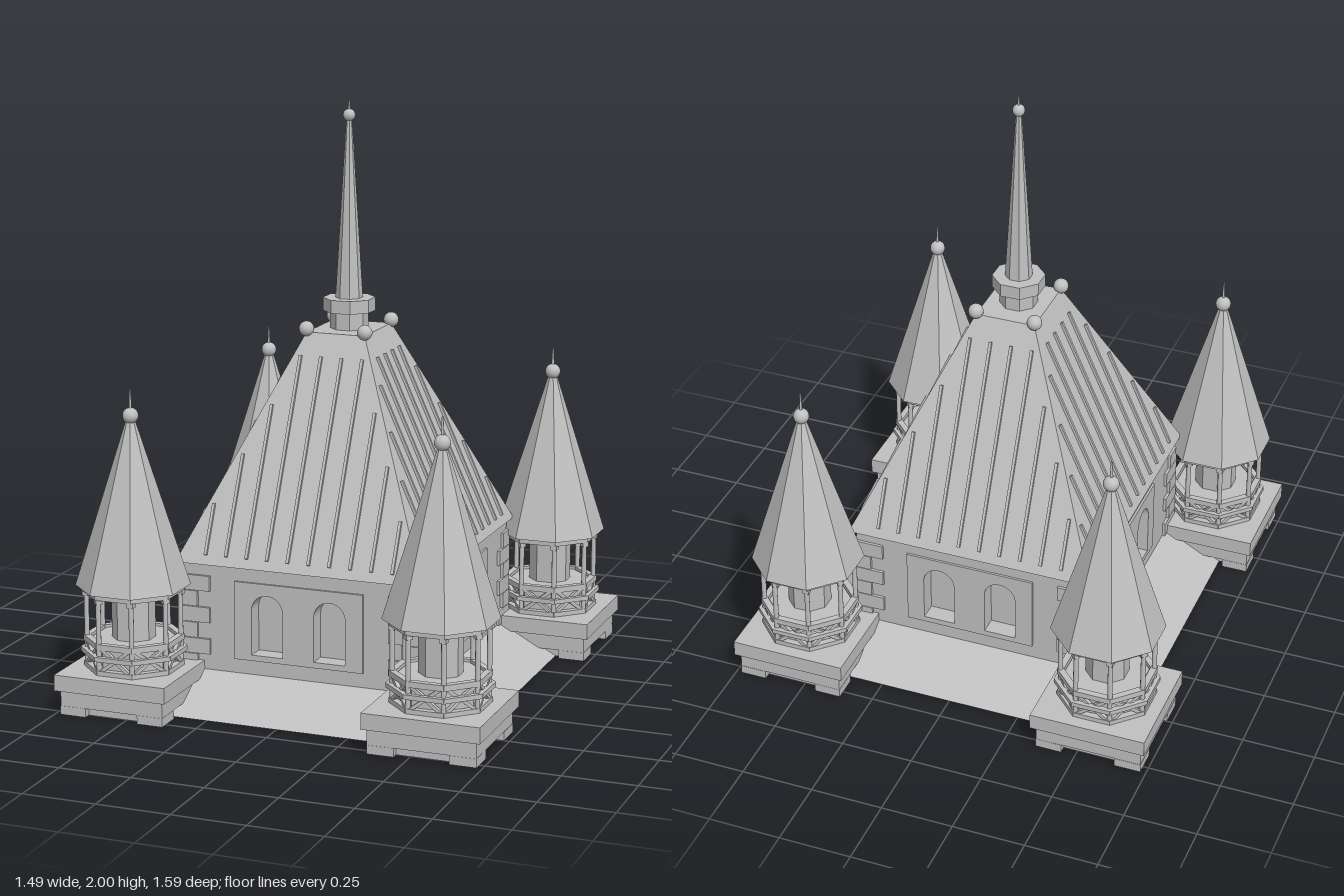
import * as THREE from 'three';

const stone = new THREE.MeshStandardMaterial({ color: 0xc0c0c0 });
stone.name = 'stone grey';

function add(parent, name, geometry, x = 0, y = 0, z = 0) {
  const mesh = new THREE.Mesh(geometry, stone);
  mesh.name = name;
  mesh.position.set(x, y, z);
  parent.add(mesh);
  return mesh;
}

function box(parent, name, w, y0, y1, d, x = 0, z = 0) {
  return add(parent, name, new THREE.BoxGeometry(w, y1 - y0, d), x, (y0 + y1) / 2, z);
}

// Square-cornered block tapering from half sizes (x0, z0) to (x1, z1)
function taper(parent, name, x0, z0, x1, z1, y0, y1) {
  const g = new THREE.BoxGeometry(2, 2, 2);
  const p = g.attributes.position;
  for (let i = 0; i < p.count; i++) {
    const top = p.getY(i) > 0;
    p.setXYZ(i, p.getX(i) * (top ? x1 : x0), top ? y1 : y0, p.getZ(i) * (top ? z1 : z0));
  }
  g.computeVertexNormals();
  return add(parent, name, g);
}

// Flat-faced octagonal prism or cone, sized by its apothem, one face to the front
function octagon(parent, name, a0, a1, y0, y1) {
  const k = 1 / Math.cos(Math.PI / 8);
  const g = new THREE.CylinderGeometry(a1 * k, a0 * k, y1 - y0, 8).toNonIndexed();
  g.rotateY(Math.PI / 8);
  g.computeVertexNormals();
  return add(parent, name, g, 0, (y0 + y1) / 2, 0);
}

function ball(parent, name, r, x, y, z) {
  return add(parent, name, new THREE.SphereGeometry(r, 20, 14), x, y, z);
}

function rod(parent, name, r0, r1, y0, y1, x = 0, z = 0) {
  return add(parent, name, new THREE.CylinderGeometry(r1, r0, y1 - y0, 8), x, (y0 + y1) / 2, z);
}

// Square bar between two points
function bar(parent, name, a, b, w, h) {
  const mesh = new THREE.Mesh(new THREE.BoxGeometry(w, h, a.distanceTo(b)), stone);
  mesh.name = name;
  mesh.position.copy(a).add(b).multiplyScalar(0.5);
  mesh.lookAt(b);
  parent.add(mesh);
  return mesh;
}

// Rectangle pierced by a pair of arched windows
function pierced(w, y0, y1, depth) {
  const s = new THREE.Shape();
  s.moveTo(-w, y0).lineTo(w, y0).lineTo(w, y1).lineTo(-w, y1).closePath();
  for (const x of [-0.112, 0.112]) {
    const h = new THREE.Path();
    h.moveTo(x - 0.056, 0.18).lineTo(x + 0.056, 0.18).lineTo(x + 0.056, 0.334);
    h.absarc(x, 0.334, 0.056, 0, Math.PI, false);
    h.closePath();
    s.holes.push(h);
  }
  return new THREE.ExtrudeGeometry(s, { depth, bevelEnabled: false, curveSegments: 12 });
}

const EAVE = 0.48, TOP = 1.225;

// One side of the hall: wall, panel and roof ribs, built facing +z
function buildSide(halfWidth, wallOut, eaveOut, topOut, ribs, spacing) {
  const side = new THREE.Group();
  add(side, 'wall', pierced(halfWidth, 0.1, EAVE, 0.06), 0, 0, wallOut - 0.06);
  add(side, 'windowPanel', pierced(0.23, 0.16, 0.43, 0.008), 0, 0, wallOut);
  const onRoof = (x, y) =>
    new THREE.Vector3(x, y, eaveOut + (topOut - eaveOut) * (y - EAVE) / (TOP - EAVE));
  ribs.forEach((yTop, i) => {
    for (const s of [-1, 1]) {
      const x = s * (i + 0.5) * spacing;
      bar(side, 'roofRib', onRoof(x, 0.51), onRoof(x, yTop), 0.01, 0.018);
    }
  });
  return side;
}

function buildTurret() {
  const t = new THREE.Group();
  t.name = 'turret';
  // Stepped plinth on corner feet
  box(t, 'plinthCore', 0.32, 0, 0.035, 0.32);
  box(t, 'plinthBody', 0.37, 0.03, 0.09, 0.37);
  box(t, 'plinthSlab', 0.402, 0.085, 0.14, 0.402);
  for (const x of [-0.14, 0.14]) for (const z of [-0.14, 0.14])
    box(t, 'plinthFoot', 0.092, 0, 0.03, 0.092, x, z);

  // Balcony drum and inner column
  octagon(t, 'balconyDrum', 0.13, 0.13, 0.135, 0.24);
  octagon(t, 'innerColumn', 0.068, 0.068, 0.23, 0.42);
  octagon(t, 'eaveRing', 0.158, 0.158, 0.4, 0.422);

  // Railing, lattice and posts around the eight sides
  for (let i = 0; i < 8; i++) {
    const face = new THREE.Group();
    face.name = 'balconySide';
    box(face, 'topRail', 0.128, 0.228, 0.248, 0.022, 0, 0.145);
    box(face, 'middleRail', 0.138, 0.19, 0.206, 0.018, 0, 0.156);
    box(face, 'bottomRail', 0.128, 0.14, 0.156, 0.022, 0, 0.145);
    for (const s of [-1, 1]) {
      bar(face, 'latticeBar', new THREE.Vector3(-0.055 * s, 0.15, 0.145),
        new THREE.Vector3(0.055 * s, 0.235, 0.145), 0.014, 0.012);
    }
    rod(face, 'post', 0.009, 0.009, 0.14, 0.41, 0.06, 0.145);
    box(face, 'postCapital', 0.022, 0.385, 0.402, 0.022, 0.06, 0.145);
    face.rotation.y = i * Math.PI / 4;
    t.add(face);
  }

  // Pointed roof with finial
  octagon(t, 'turretRoof', 0.178, 0.012, 0.42, 0.99);
  ball(t, 'turretBall', 0.027, 0, 0.998, 0);
  rod(t, 'turretSpike', 0.006, 0.003, 1.0, 1.085);
  return t;
}

export function createModel() {
  const model = new THREE.Group();
  model.name = 'spiredHall';

  // Sloping base and solid core behind the windows
  taper(model, 'slopingBase', 0.62, 0.665, 0.42, 0.465, 0, 0.11);
  box(model, 'hallCore', 0.73, 0.1, EAVE, 0.82);

  // Four sides of the hall
  const frontRibs = [1.15, 1.15, 0.99, 0.83, 0.67];
  const flankRibs = [1.15, 1.15, 1.07, 0.93, 0.785, 0.645];
  for (let i = 0; i < 4; i++) {
    const side = i % 2 === 0
      ? buildSide(0.42, 0.465, 0.485, 0.128, frontRibs, 0.074)
      : buildSide(0.465, 0.42, 0.44, 0.105, flankRibs, 0.0695);
    side.name = ['frontSide', 'leftSide', 'backSide', 'rightSide'][i];
    side.rotation.y = i * Math.PI / 2;
    model.add(side);
  }

  // Hipped roof with flat top
  taper(model, 'hippedRoof', 0.44, 0.485, 0.105, 0.128, EAVE, TOP);

  for (const sx of [-1, 1]) for (const sz of [-1, 1]) {
    // Quoins with alternating long faces
    for (let i = 0; i < 6; i++) {
      const w = i % 2 ? 0.11 : 0.065, d = i % 2 ? 0.07 : 0.11, y = 0.11 + i * 0.055;
      box(model, 'quoin', w, y, y + 0.053, d, sx * (0.43 - w / 2), sz * (0.475 - d / 2));
    }
    ball(model, 'roofBall', 0.026, sx * 0.105, 1.237, sz * 0.128);
    const turret = buildTurret();
    turret.position.set(sx * 0.545, 0, sz * 0.593);
    model.add(turret);
  }

  // Central spire
  octagon(model, 'spireDrum', 0.06, 0.06, 1.22, 1.29);
  octagon(model, 'spireCollar', 0.083, 0.083, 1.285, 1.33);
  octagon(model, 'spire', 0.043, 0.009, 1.33, 1.945);
  ball(model, 'spireBall', 0.021, 0, 1.95, 0);
  rod(model, 'spireTip', 0.005, 0.003, 1.95, 2);
  return model;
}
